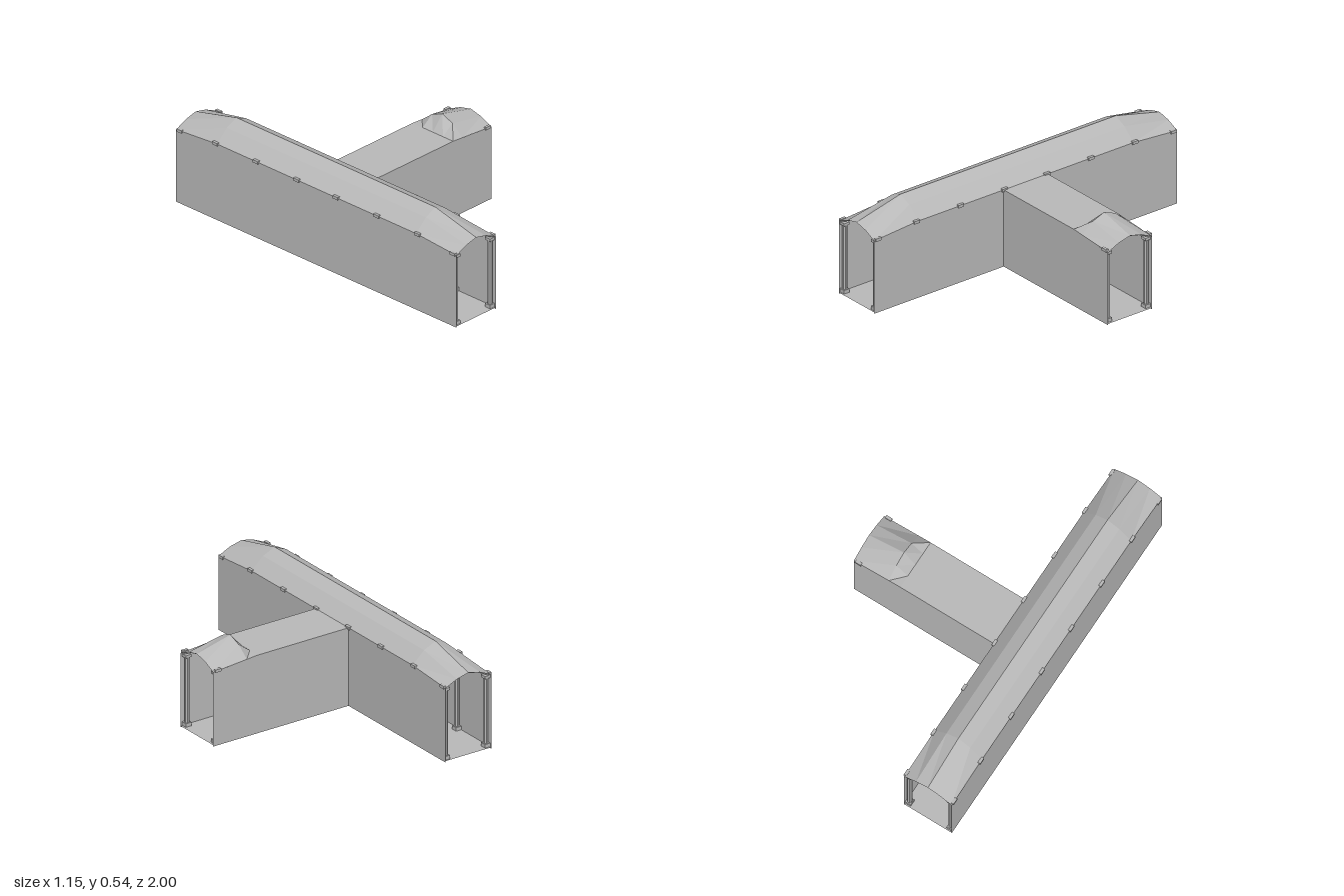
import * as THREE from 'three';

const HALF = 0.145;      // half width of a corridor
const CX = -0.423;       // centre line of the long corridor
const END = 0.578;       // open end of the side wing

// Roof cross-section heights: [eave, haunch, ridge]
const HIGH = [0.442, 0.508, 0.54];
const LOW = [0.42, 0.453, 0.47];
const FLAT = [0.442, 0.442, 0.442];

export function createModel() {
  const group = new THREE.Group();
  const grey = new THREE.MeshStandardMaterial({ color: 0xb8b8b8, side: THREE.DoubleSide, flatShading: true });
  grey.name = 'plain grey';

  function add(parent, name, geometry, x = 0, y = 0, z = 0) {
    const mesh = new THREE.Mesh(geometry, grey);
    mesh.name = name;
    mesh.position.set(x, y, z);
    parent.add(mesh);
    return mesh;
  }

  const profile = ([eave, haunch, ridge], drop = 0) => [
    [-HALF, eave - drop], [-HALF / 2, haunch - drop], [0, ridge - drop],
    [HALF / 2, haunch - drop], [HALF, eave - drop],
  ];

  // Faceted sheet lofted through cross-sections placed along z
  function roofSheet(sections) {
    const pos = [];
    for (let i = 0; i < sections.length - 1; i++) {
      const [za, ha] = sections[i], [zb, hb] = sections[i + 1];
      const A = profile(ha), B = profile(hb);
      for (let j = 0; j < 4; j++) {
        const a = [...A[j], za], b = [...A[j + 1], za], c = [...B[j + 1], zb], d = [...B[j], zb];
        pos.push(...a, ...c, ...b, ...a, ...d, ...c);
      }
    }
    const g = new THREE.BufferGeometry();
    g.setAttribute('position', new THREE.Float32BufferAttribute(pos, 3));
    // sections run towards +z, so the winding is turned to face up
    const p = g.attributes.position;
    for (let t = 0; t < p.count; t += 3) {
      const b = new THREE.Vector3().fromBufferAttribute(p, t + 1);
      const c = new THREE.Vector3().fromBufferAttribute(p, t + 2);
      p.setXYZ(t + 1, c.x, c.y, c.z);
      p.setXYZ(t + 2, b.x, b.y, b.z);
    }
    g.computeVertexNormals();
    return g;
  }

  // Slim rib that follows the underside of the roof
  function ribGeometry(heights, depth) {
    const shape = new THREE.Shape([
      ...profile(heights, 0.003), ...profile(heights, 0.013).reverse(),
    ].map(([x, y]) => new THREE.Vector2(x, y)));
    return new THREE.ExtrudeGeometry(shape, { depth, bevelEnabled: false });
  }

  // Upright wall sheet; outline is [along, height] and it faces sideways (x)
  function wallGeometry(outline, facing) {
    const shape = new THREE.Shape(outline.map(([a, y]) => new THREE.Vector2(-a * facing, y)));
    return new THREE.ShapeGeometry(shape).rotateY(facing * Math.PI / 2);
  }

  // Post with base, cap and a small bracket at the eave
  function post(parent, side, z, eave) {
    const p = new THREE.Group();
    p.name = 'post';
    p.position.set(side * (HALF - 0.018), 0, z);
    add(p, 'postBase', new THREE.BoxGeometry(0.034, 0.02, 0.036), 0, 0.02, 0);
    add(p, 'postShaft', new THREE.CylinderGeometry(0.0135, 0.0135, 0.37, 8).rotateY(Math.PI / 8), 0, 0.215, 0);
    add(p, 'postCap', new THREE.BoxGeometry(0.034, 0.015, 0.036), 0, 0.4075, 0);
    add(p, 'eaveBracket', new THREE.BoxGeometry(0.016, 0.016, 0.036), side * 0.017, eave, 0);
    parent.add(p);
  }

  // Long corridor
  const hall = new THREE.Group();
  hall.name = 'longCorridor';
  hall.position.x = CX;
  group.add(hall);
  add(hall, 'longRoof', roofSheet([[-1, LOW], [-0.71, HIGH], [0.71, HIGH], [1, LOW]]));
  add(hall, 'outerWall', wallGeometry(
    [[-1, 0], [1, 0], [1, 0.42], [0.71, 0.442], [-0.71, 0.442], [-1, 0.42]], -1), -HALF);
  for (const s of [-1, 1]) {
    add(hall, 'innerWall', wallGeometry(
      [[s * HALF, 0], [s, 0], [s, 0.42], [s * 0.71, 0.442], [s * HALF, 0.442]], 1), HALF);
  }
  for (const z of [0.14, 0.43, 0.72, 0.975]) {
    const t = Math.max(0, (z - 0.71) / 0.29);
    const heights = HIGH.map((h, i) => h + (LOW[i] - h) * t);
    for (const s of [-1, 1]) {
      for (const side of [-1, 1]) post(hall, side, s * z, heights[0]);
      add(hall, 'roofRib', ribGeometry(heights, 0.02), 0, 0, s * z - 0.01);
    }
  }

  // Side wing, built along z and turned to run along x
  const wing = new THREE.Group();
  wing.name = 'sideWing';
  wing.rotation.y = Math.PI / 2;
  group.add(wing);
  const start = CX + HALF;
  add(wing, 'wingRoof', roofSheet([
    [start, FLAT], [0.295, FLAT], [0.365, [0.437, 0.494, 0.522]], [END, LOW]]));
  for (const side of [-1, 1]) {
    add(wing, 'wingWall', wallGeometry(
      [[start, 0], [END, 0], [END, 0.42], [0.3, 0.442], [start, 0.442]], side), side * HALF);
    post(wing, side, 0.55, 0.425);
  }
  add(wing, 'wingRib', ribGeometry([0.422, 0.456, 0.474], 0.02), 0, 0, 0.54);

  // Floor sheets, slightly above the foot of the walls
  const floor = (w, d) => new THREE.PlaneGeometry(w, d).rotateX(-Math.PI / 2);
  add(group, 'longFloor', floor(HALF * 2, 2), CX, 0.008, 0);
  add(group, 'wingFloor', floor(END - start, HALF * 2), (END + start) / 2, 0.008, 0);

  return group;
}
